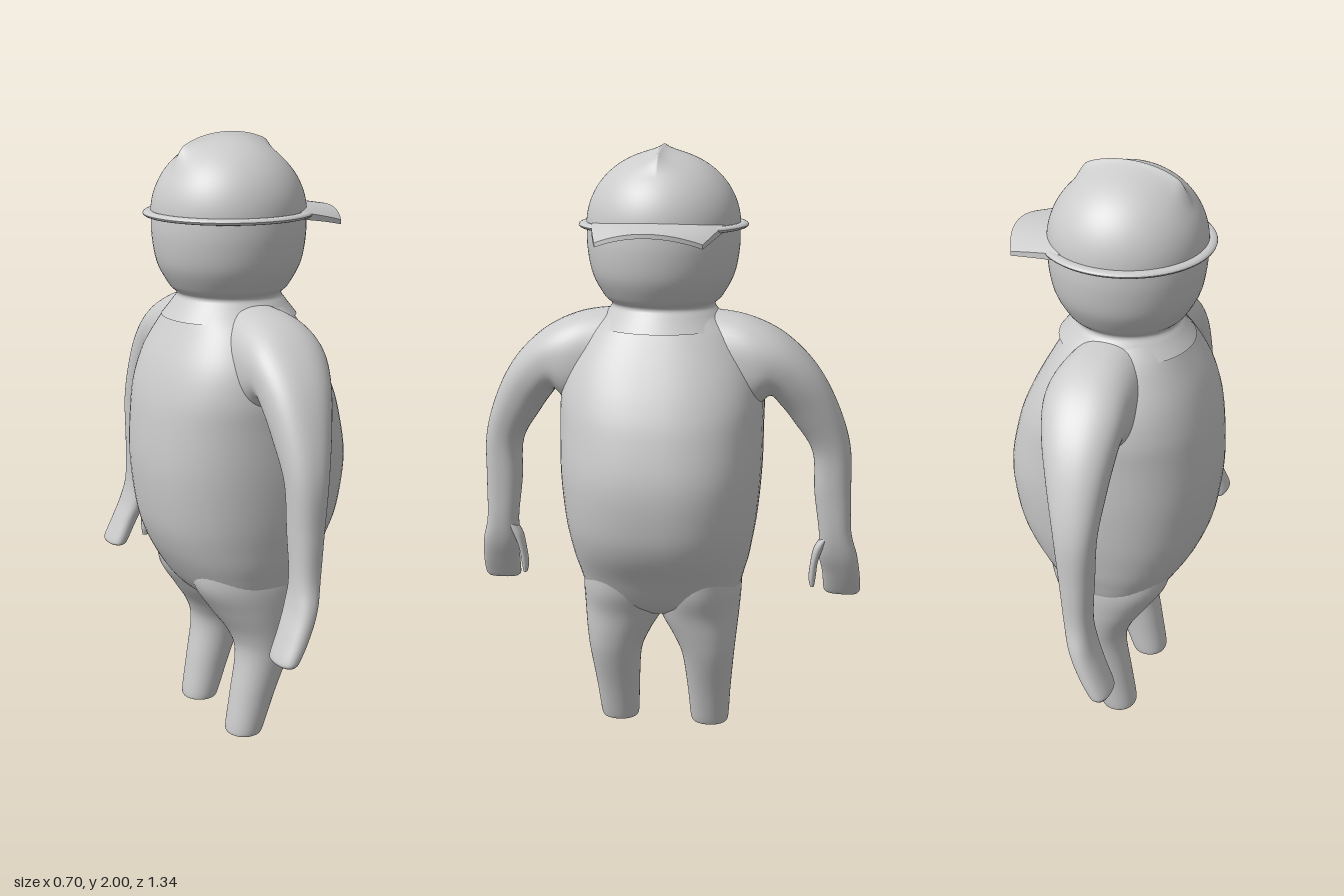
import * as THREE from 'three';

const V = (x, y, z) => new THREE.Vector3(x, y, z);
const material = new THREE.MeshStandardMaterial({ color: 0xcccccc, roughness: 0.8, side: THREE.DoubleSide });

// Smooth capped tube through rings { c: centre, u, v: half axes }; power > 2 squares the section
function loft(rings, power = 2, steps = 6, sides = 48) {
  const [cs, us, vs] = ['c', 'u', 'v'].map(k =>
    new THREE.CatmullRomCurve3(rings.map(r => r[k]), false, 'catmullrom', 0.5));
  const last = rings.length - 1, rows = last * steps;
  const along = rings[last].c.clone().sub(rings[last - 1].c);
  const flip = rings[last].u.clone().cross(rings[last].v).dot(along) < 0 ? -1 : 1;
  const pos = [], index = [];
  const bend = w => Math.sign(w) * Math.abs(w) ** (2 / power);
  const addRing = t => {
    const c = cs.getPoint(t), u = us.getPoint(t), v = vs.getPoint(t);
    for (let j = 0; j < sides; j++) {
      const a = (j / sides) * Math.PI * 2;
      const p = c.clone().addScaledVector(u, bend(Math.cos(a))).addScaledVector(v, flip * bend(Math.sin(a)));
      pos.push(p.x, p.y, p.z);
    }
    return c;
  };
  for (let i = 0; i <= rows; i++) addRing(i / rows);
  for (let i = 0; i < rows; i++) {
    for (let j = 0; j < sides; j++) {
      const a = i * sides + j, b = i * sides + (j + 1) % sides;
      index.push(a, b, a + sides, b, b + sides, a + sides);
    }
  }
  for (const t of [0, 1]) {
    const start = pos.length / 3, c = addRing(t);
    pos.push(c.x, c.y, c.z);
    for (let j = 0; j < sides; j++) {
      const a = start + j, b = start + (j + 1) % sides;
      index.push(start + sides, ...(t ? [a, b] : [b, a]));
    }
  }
  const g = new THREE.BufferGeometry();
  g.setAttribute('position', new THREE.Float32BufferAttribute(pos, 3));
  g.setIndex(index);
  g.computeVertexNormals();
  return g;
}

// Horizontal ring from its limits
const flatRing = (y, x0, x1, z0, z1) => ({
  c: V((x0 + x1) / 2, y, (z0 + z1) / 2), u: V((x1 - x0) / 2, 0, 0), v: V(0, 0, (z1 - z0) / 2),
});
// Ring across a limb: outer and inner points in the z-y plane, then x limits
const limbRing = (s, [oz, oy, iz, iy, x0, x1]) => ({
  c: V((x0 + x1) / 2, (oy + iy) / 2, s * (oz + iz) / 2),
  u: V(0, (oy - iy) / 2, s * (oz - iz) / 2), v: V((x1 - x0) / 2, 0, 0),
});

// Moves every vertex by a rule
function reshape(g, rule) {
  const p = g.attributes.position, v = V(0, 0, 0);
  for (let i = 0; i < p.count; i++) {
    rule(v.fromBufferAttribute(p, i));
    p.setXYZ(i, v.x, v.y, v.z);
  }
  g.computeVertexNormals();
  return g;
}

export function createModel() {
  const model = new THREE.Group();
  const headX = -0.03;
  const add = (name, geometry, parent = model) => {
    const mesh = new THREE.Mesh(geometry, material);
    mesh.name = name;
    parent.add(mesh);
    return mesh;
  };

  // Torso: height, back, front, half width
  add('torso', loft([
    [0.45, -0.1, 0.1, 0.1], [0.5, -0.19, 0.165, 0.24], [0.6, -0.262, 0.23, 0.285],
    [0.7, -0.31, 0.295, 0.307], [0.8, -0.335, 0.33, 0.322], [0.95, -0.35, 0.346, 0.334],
    [1.1, -0.342, 0.318, 0.336], [1.2, -0.325, 0.282, 0.335], [1.3, -0.29, 0.232, 0.31],
    [1.4, -0.235, 0.175, 0.25], [1.46, -0.2, 0.137, 0.185], [1.5, -0.18, 0.12, 0.15],
  ].map(([y, x0, x1, z]) => flatRing(y, x0, x1, -z, z)), 2.35, 5, 64));

  for (const s of [1, -1]) {
    const side = s > 0 ? 'right' : 'left';

    // Leg: height, back, front, inner, outer
    add(side + 'Leg', loft([
      [0, -0.115, -0.012, 0.104, 0.216], [0.015, -0.125, 0, 0.094, 0.226],
      [0.14, -0.106, 0.045, 0.086, 0.236], [0.28, -0.085, 0.1, 0.072, 0.25],
      [0.36, -0.105, 0.125, 0.04, 0.258], [0.45, -0.165, 0.15, -0.01, 0.266],
      [0.54, -0.22, 0.185, -0.02, 0.27], [0.64, -0.23, 0.2, 0, 0.26],
    ].map(([y, x0, x1, z0, z1]) => flatRing(y, x0, x1, s * z0, s * z1)).map(r => {
      r.v.z = Math.abs(r.v.z);
      return r;
    }), 2.1));

    // Arm running from inside the shoulder to the flat hand
    add(side + 'Arm', loft([
      [0.08, 1.47, 0.08, 1.1, -0.16, 0.1], [0.18, 1.472, 0.2, 1.12, -0.165, 0.115],
      [0.29, 1.452, 0.31, 1.155, -0.162, 0.122], [0.4, 1.397, 0.356, 1.195, -0.16, 0.105],
      [0.5, 1.3, 0.388, 1.165, -0.156, 0.075], [0.572, 1.175, 0.435, 1.1, -0.15, 0.035],
      [0.622, 1.02, 0.497, 0.995, -0.142, -0.008], [0.63, 0.85, 0.507, 0.85, -0.136, -0.03],
      [0.635, 0.71, 0.525, 0.71, -0.135, -0.048], [0.657, 0.62, 0.525, 0.625, -0.15, -0.07],
      [0.668, 0.54, 0.538, 0.55, -0.18, -0.105], [0.671, 0.475, 0.544, 0.475, -0.21, -0.142],
      [0.662, 0.458, 0.552, 0.46, -0.209, -0.154],
    ].map(r => limbRing(s, r)), 2.3));

    add(side + 'Thumb', loft([
      [0.575, 0.71, 0.535, 0.69, -0.12, -0.06], [0.548, 0.66, 0.51, 0.65, -0.118, -0.06],
      [0.526, 0.6, 0.5, 0.6, -0.115, -0.068], [0.519, 0.54, 0.494, 0.54, -0.118, -0.078],
      [0.514, 0.505, 0.5, 0.505, -0.114, -0.086],
    ].map(r => limbRing(s, r)), 2, 5, 20));
  }

  // Round head with a flared neck
  const headProfile = new THREE.SplineCurve([
    [0.22, 1.42], [0.185, 1.465], [0.17, 1.492], [0.195, 1.52], [0.232, 1.59],
    [0.248, 1.68], [0.247, 1.76],
  ].map(p => new THREE.Vector2(...p)));
  add('head', new THREE.LatheGeometry(headProfile.getPoints(40), 64)).position.x = headX;

  // Helmet
  const helmet = new THREE.Group();
  helmet.name = 'helmet';
  helmet.position.x = headX;
  model.add(helmet);

  // Dome with a narrow crest drawn up along its centre line
  const dome = new THREE.SphereGeometry(1, 128, 64, 0, Math.PI);
  dome.rotateZ(Math.PI / 2).rotateX(-Math.PI / 2);
  if (dome.attributes.position.getY(32 * 129 + 64) < 0) dome.rotateX(Math.PI);
  add('dome', reshape(dome, v => {
    v.set(v.x * 0.25, 1.745 + v.y * 0.236, v.z * 0.25);
    const ends = 1 - THREE.MathUtils.smoothstep(Math.abs(v.x + 0.015), 0.145, 0.195);
    const rise = 0.019 + 0.6 * v.x * v.x;
    v.y += ends * rise * Math.exp(-Math.abs(v.z) / 0.028);
  }), helmet);

  // Thin rim around the helmet
  const rimProfile = Array.from({ length: 17 }, (_, i) => {
    const a = (i / 16) * Math.PI * 2;
    return new THREE.Vector2(0.255 + 0.02 * Math.cos(a), 1.747 + 0.01 * Math.sin(a));
  });
  add('rim', new THREE.LatheGeometry(rimProfile, 80), helmet);

  // Arched visor: a slab bent from the rim to its front edge
  add('visor', reshape(new THREE.BoxGeometry(1, 1, 2, 10, 1, 28), v => {
    const t = v.x + 0.5, s = v.z, top = v.y;
    const z = s * (0.212 - 0.045 * t);
    const inner = Math.sqrt(0.245 ** 2 - z * z);
    const outer = 0.365 - 0.045 * s * s;
    const y = 1.762 - 0.016 * t - 0.012 * s * s - 0.022 * t * s * s;
    v.set(inner + (outer - inner) * t, y + top * (0.022 - 0.008 * t), z);
  }), helmet);

  return model;
}
